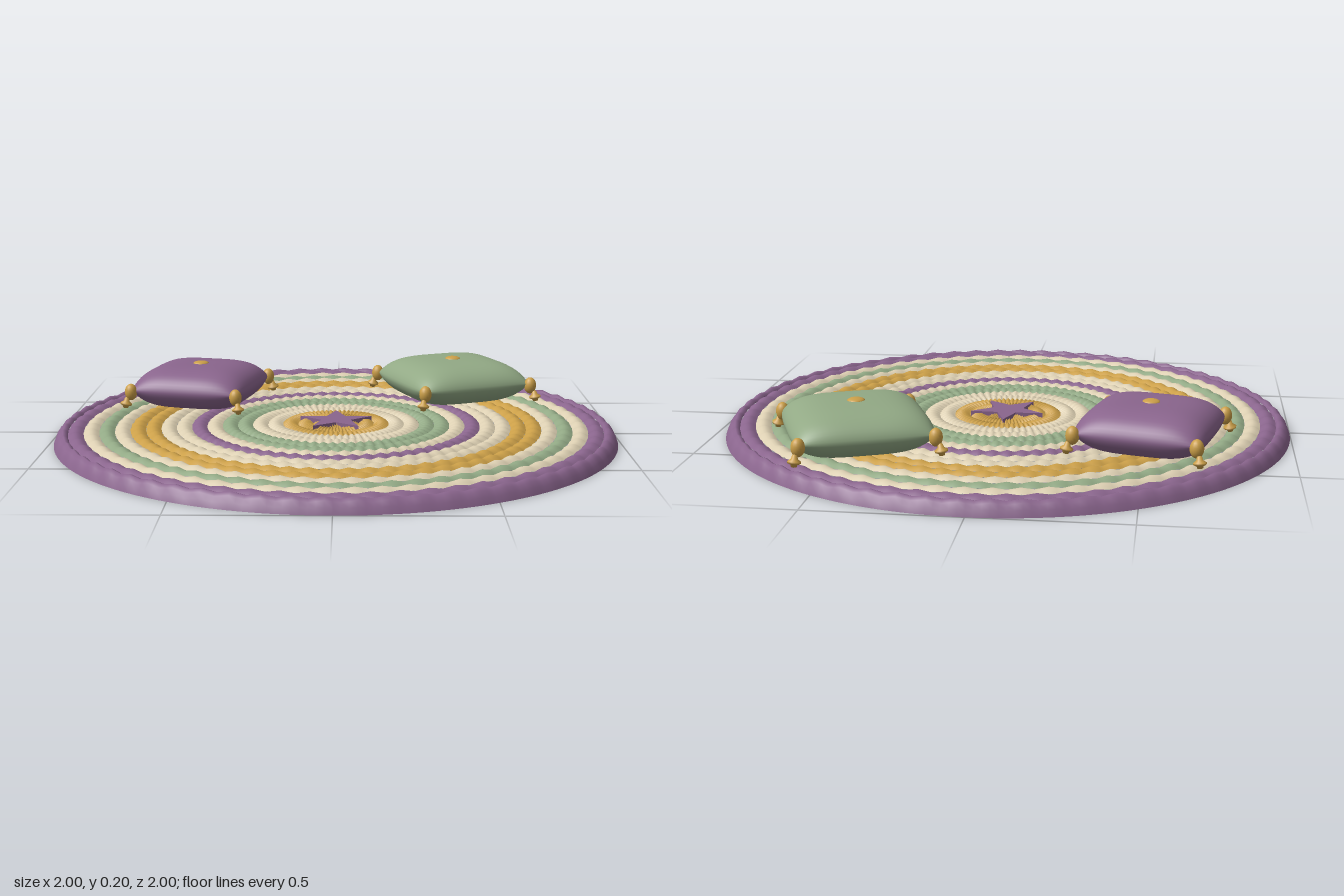
import * as THREE from 'three';
import { mergeGeometries, mergeVertices } from 'three/addons/utils/BufferGeometryUtils.js';

const material = (color) => new THREE.MeshStandardMaterial({ color, roughness: 0.9, side: THREE.DoubleSide });
const purple = material(0x8a658d);
const cream = material(0xdccfb2);
const green = material(0x92a985);
const gold = material(0xcb9f48);

function addMesh(parent, name, geometry, mat, x = 0, y = 0, z = 0) {
  const mesh = new THREE.Mesh(geometry, mat);
  mesh.name = name;
  mesh.position.set(x, y, z);
  parent.add(mesh);
  return mesh;
}

// Lathed cord whose height ripples around the circle like a braid
function braid(profile, phase) {
  const points = profile.map(([r, y]) => new THREE.Vector2(r, y));
  const geometry = new THREE.LatheGeometry(points.reverse(), 256);
  const p = geometry.attributes.position;
  for (let i = 0; i < p.count; i++) {
    const angle = Math.atan2(p.getZ(i), p.getX(i));
    const ripple = 0.0035 * Math.sin(64 * angle + phase);
    p.setY(i, p.getY(i) + ripple * Math.min(1, p.getY(i) / 0.035));
  }
  geometry.computeVertexNormals();
  return geometry;
}

// Rug: concentric half-round cords and a sloping outer rim, open underneath
function createRug() {
  const rug = new THREE.Group();
  rug.name = 'rug';
  const width = 0.0543;
  const colors = [gold, gold, gold, gold, cream, cream, green, green, cream, purple,
    cream, cream, gold, gold, cream, green, cream, purple];
  colors.forEach((mat, k) => {
    const profile = [];
    for (let j = k === 0 ? 3 : 0; j <= 6; j++) {
      const t = j / 6;
      profile.push([Math.max(0, (k - 0.5 + t) * width), 0.033 + 0.012 * Math.sin(Math.PI * t)]);
    }
    addMesh(rug, `braidRing${k}`, braid(profile, k % 2 ? Math.PI : 0), mat);
  });
  const rim = [[0.95, 0.033], [0.957, 0.042], [0.967, 0.045], [0.98, 0.036], [0.992, 0.02], [1, 0]];
  addMesh(rug, 'outerRim', braid(rim, 0), purple);
  return rug;
}

// Five-pointed star lying on the middle of the rug
function createStar() {
  const points = [];
  for (let i = 0; i < 10; i++) {
    const r = i % 2 ? 0.056 : 0.136;
    const a = Math.PI / 2 + (i * Math.PI) / 5;
    points.push(new THREE.Vector2(r * Math.cos(a), r * Math.sin(a)));
  }
  const geometry = new THREE.ExtrudeGeometry(new THREE.Shape(points), { depth: 0.022, bevelEnabled: false });
  return geometry.rotateX(-Math.PI / 2);
}

// Puffed square: two domed sheets meeting at a thin seam
function pillowGeometry(half, height) {
  const sheets = [1, -1].map((side) => {
    const sheet = new THREE.PlaneGeometry(2, 2, 28, 28).rotateX(-Math.PI / 2);
    if (side < 0) sheet.rotateX(Math.PI);
    const p = sheet.attributes.position;
    for (let i = 0; i < p.count; i++) {
      const u = Math.sin((p.getX(i) * Math.PI) / 2);
      const v = Math.sin((p.getZ(i) * Math.PI) / 2);
      const dome = Math.pow(Math.max(0, (1 - u ** 4) * (1 - v ** 4)), 0.6);
      p.setXYZ(i, half * u * (1 - 0.07 * v ** 4), side * height * dome, half * v * (1 - 0.07 * u ** 4));
    }
    sheet.deleteAttribute('uv');
    sheet.deleteAttribute('normal');
    return sheet;
  });
  const geometry = mergeVertices(mergeGeometries(sheets), 1e-5);
  geometry.computeVertexNormals();
  return geometry;
}

// Corner tassel: oval bead, thin neck and flared tip, leaning outward along +x
function createTassel() {
  const tassel = new THREE.Group();
  tassel.name = 'tassel';
  addMesh(tassel, 'tasselBead', new THREE.SphereGeometry(0.023, 18, 12), gold).scale.y = 1.35;
  const skirt = [[0, 0.024], [0.008, 0.02], [0.011, 0.008], [0.022, 0], [0.021, -0.006], [0.011, -0.011], [0.009, -0.018], [0, -0.02]];
  const points = skirt.map(([r, y]) => new THREE.Vector2(r, y)).reverse();
  addMesh(tassel, 'tasselSkirt', new THREE.LatheGeometry(points, 18), gold, 0.02, -0.04, 0).rotation.z = 0.2;
  return tassel;
}

function createCushion(name, mat, half, x, z, turn) {
  const cushion = new THREE.Group();
  cushion.name = name;
  cushion.position.set(x, 0.113, z);
  cushion.rotation.y = turn;
  addMesh(cushion, 'pillow', pillowGeometry(half, 0.078), mat);
  addMesh(cushion, 'button', new THREE.SphereGeometry(0.03, 20, 12), gold, 0, 0.076, 0).scale.y = 0.35;
  for (let i = 0; i < 4; i++) {
    const a = Math.PI / 4 + (i * Math.PI) / 2;
    const reach = half * 1.33;
    const tassel = createTassel();
    tassel.position.set(reach * Math.cos(a), -0.004, -reach * Math.sin(a));
    tassel.rotation.y = a;
    cushion.add(tassel);
  }
  return cushion;
}

export function createModel() {
  const model = new THREE.Group();
  model.name = 'rugWithCushions';
  model.add(createRug());
  addMesh(model, 'star', createStar(), purple, 0, 0.031, 0);
  model.add(createCushion('purpleCushion', purple, 0.218, -0.52, -0.34, -0.24));
  model.add(createCushion('greenCushion', green, 0.235, 0.45, -0.445, 0.39));
  return model;
}
